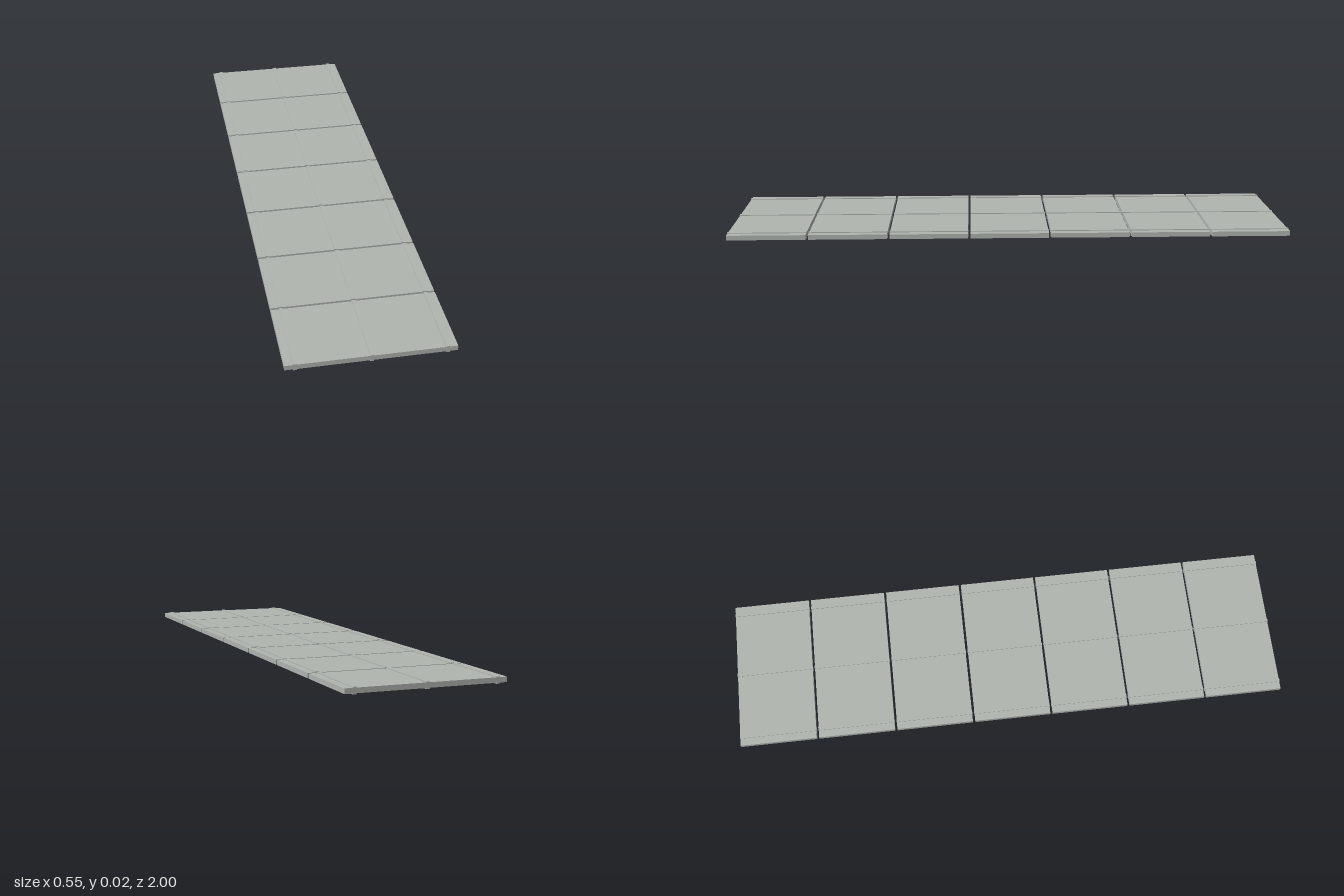
import * as THREE from 'three';

export function createModel() {
  const group = new THREE.Group();
  group.name = 'slabWalkway';
  const grey = new THREE.MeshStandardMaterial({ color: 0xb0b5b0 });
  grey.name = 'paleGrey';

  const count = 7, ribLength = 0.28;
  const pitch = (2 - ribLength) / (count - 1);
  const slabGeometry = new THREE.BoxGeometry(0.545, 0.017, 0.278);
  const ribGeometry = new THREE.BoxGeometry(0.012, 0.023, ribLength);

  const add = (parent, geometry, name, x) => {
    const mesh = new THREE.Mesh(geometry, grey);
    mesh.name = name;
    mesh.position.set(x, 0.0115, 0);
    parent.add(mesh);
  };

  // Row of separate slabs, each with three ribs standing proud above and below
  for (let i = 0; i < count; i++) {
    const section = new THREE.Group();
    section.name = `section${i + 1}`;
    section.position.z = (i - (count - 1) / 2) * pitch;
    add(section, slabGeometry, 'slab', 0);
    add(section, ribGeometry, 'rightRib', -0.24);
    add(section, ribGeometry, 'middleRib', 0);
    add(section, ribGeometry, 'leftRib', 0.24);
    group.add(section);
  }
  return group;
}
